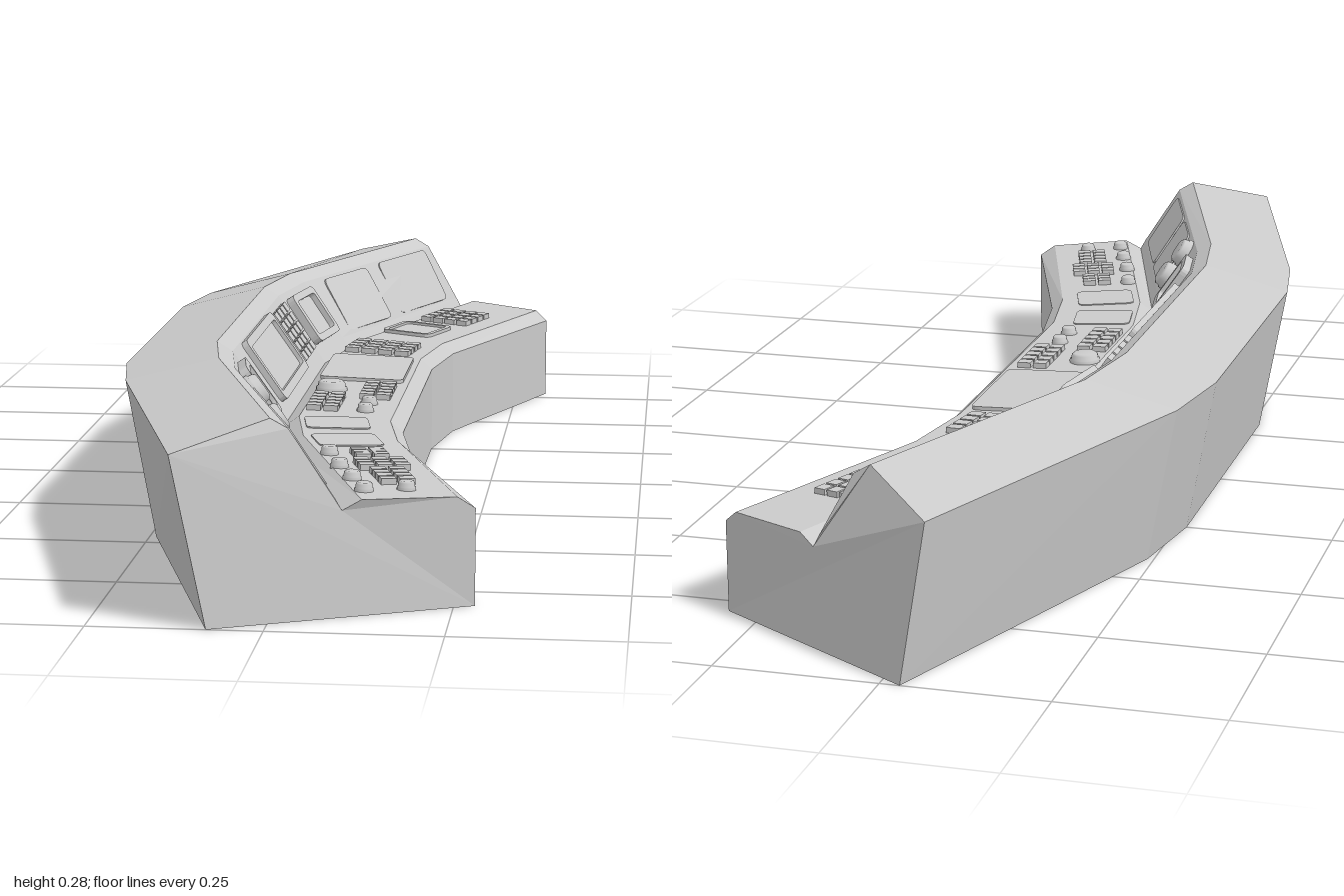
import * as THREE from 'three';

const material = new THREE.MeshStandardMaterial({ color: 0xcccccc, flatShading: true, side: THREE.DoubleSide });
const smooth = new THREE.MeshStandardMaterial({ color: 0xcccccc });
const V = (x, y, z) => new THREE.Vector3(x, y, z);

// Heights of the ten profile points, from rear foot over the crest to front foot
const HEIGHT = [0, 0.245, 0.283, 0.268, 0.168, 0.15, 0.165, 0.16, 0.142, 0];
const MID_X = [-0.265, -0.31, -0.165, -0.14, -0.07, -0.058, -0.035, 0.11, 0.13, 0.13];
const END_A = { x: [-0.03, -0.07, 0.045, 0.07, 0.125, 0.135, 0.16, 0.285, 0.305, 0.305],
  z: [-1, -1, -0.89, -0.89, -0.89, -0.885, -0.87, -0.8, -0.79, -0.79] };
const END_B = { x: [-0.08, -0.13, 0, 0.025, 0.088, 0.098, 0.125, 0.255, 0.28, 0.28],
  z: [1, 1, 0.92, 0.915, 0.9, 0.9, 0.895, 0.84, 0.83, 0.83] };

const mid = (dx, z) => HEIGHT.map((y, j) => V(MID_X[j] + dx, y, z));
const end = (e) => HEIGHT.map((y, j) => V(e.x[j], y, e.z[j]));
const stations = [end(END_A), mid(0.025, -0.41), mid(0, -0.25), mid(0, 0.31), mid(0.025, 0.46), end(END_B)];

// Console shell: profile swept through the stations, with both ends capped
function bodyGeometry() {
  const pos = [];
  const tri = (...pts) => pts.forEach((p) => pos.push(p.x, p.y, p.z));
  const n = HEIGHT.length;
  for (let i = 0; i < stations.length - 1; i++) {
    for (let j = 0; j < n; j++) {
      const k = (j + 1) % n, s = stations[i], t = stations[i + 1];
      tri(s[j], t[j], t[k]);
      tri(s[j], t[k], s[k]);
    }
  }
  for (const [s, facing] of [[stations[0], -1], [stations[stations.length - 1], 1]]) {
    const outline = s.map((p) => new THREE.Vector2(p.x, p.y));
    for (const [a, b, c] of THREE.ShapeUtils.triangulateShape(outline, [])) {
      const area = THREE.ShapeUtils.area([outline[a], outline[b], outline[c]]);
      if (area * facing > 0) tri(s[a], s[b], s[c]);
      else tri(s[a], s[c], s[b]);
    }
  }
  const g = new THREE.BufferGeometry();
  g.setAttribute('position', new THREE.Float32BufferAttribute(pos, 3));
  g.computeVertexNormals();
  return g;
}

// Point and direction on lengthwise row j at depth z
function onRow(j, z) {
  let i = 0;
  while (i < stations.length - 2 && stations[i + 1][j].z < z) i++;
  const a = stations[i][j], b = stations[i + 1][j];
  return { point: a.clone().lerp(b, (z - a.z) / (b.z - a.z)), dir: b.clone().sub(a).normalize() };
}

// Group whose X runs along the console, Y across it and Z out of the surface
function mount(name, row, z, t) {
  const a = onRow(row, z), b = onRow(row + 1, z);
  const across = b.point.clone().sub(a.point);
  const normal = a.dir.clone().cross(across).normalize();
  const group = new THREE.Group();
  group.name = name;
  group.matrix.makeBasis(a.dir, normal.clone().cross(a.dir), normal);
  group.quaternion.setFromRotationMatrix(group.matrix);
  group.position.copy(a.point).addScaledVector(across, t);
  return group;
}
const onSlope = (name, z, t = 0.5) => mount(name, 3, z, t);
function onDesk(name, x, z) {
  const a = onRow(6, z).point.x, b = onRow(7, z).point.x;
  return mount(name, 6, z, (x - a) / (b - a));
}

function add(group, geometry, name, mat = material) {
  const mesh = new THREE.Mesh(geometry, mat);
  mesh.name = name;
  group.add(mesh);
  return mesh;
}

function roundRect(path, w, h, r) {
  const x = w / 2, y = h / 2;
  path.moveTo(-x + r, -y);
  path.lineTo(x - r, -y).quadraticCurveTo(x, -y, x, -y + r);
  path.lineTo(x, y - r).quadraticCurveTo(x, y, x - r, y);
  path.lineTo(-x + r, y).quadraticCurveTo(-x, y, -x, y - r);
  path.lineTo(-x, -y + r).quadraticCurveTo(-x, -y, -x + r, -y);
  return path;
}

function plate(group, w, h, depth, name, border = 0) {
  const shape = roundRect(new THREE.Shape(), w, h, 0.014);
  if (border) shape.holes.push(roundRect(new THREE.Path(), w - 2 * border, h - 2 * border, 0.008));
  return add(group, new THREE.ExtrudeGeometry(shape, { depth, bevelEnabled: false, curveSegments: 4 }), name);
}

// Raised bezel around a lower display
function screen(group, w, h, depth, border) {
  plate(group, w, h, depth, 'bezel', border);
  plate(group, w - border, h - border, depth * 0.3, 'display');
  return group;
}

function keypad(group, w, h, cols, rows) {
  const dx = w / cols, dy = h / rows;
  for (let i = 0; i < cols; i++) {
    for (let j = 0; j < rows; j++) {
      const key = add(group, new THREE.BoxGeometry(dx * 0.82, dy * 0.82, 0.014), 'key');
      key.position.set((i + 0.5) * dx - w / 2, (j + 0.5) * dy - h / 2, 0.002);
    }
  }
  return group;
}

function knob(group, r, h) {
  const profile = [[0, h], [r * 0.7, h], [r * 0.85, h * 0.8], [r * 0.9, h * 0.35], [r, h * 0.3], [r, -0.004]];
  const points = profile.reverse().map(([x, y]) => new THREE.Vector2(x, y));
  const g = new THREE.LatheGeometry(points, 16).rotateX(Math.PI / 2);
  add(group, g, 'knobCap', smooth);
  return group;
}

export function createModel() {
  const model = new THREE.Group();
  model.name = 'controlConsole';
  add(model, bodyGeometry(), 'consoleBody');

  // Sloped instrument panel
  for (const [z, w] of [[-0.76, 0.2], [-0.54, 0.17], [0.63, 0.12], [0.785, 0.17]]) {
    const panel = onSlope('flatMonitor', z);
    plate(panel, w, 0.105, 0.003, 'monitorFace');
    model.add(panel);
  }
  model.add(screen(onSlope('smallScreen', -0.325), 0.13, 0.095, 0.014, 0.013));
  model.add(screen(onSlope('smallScreen', 0.395), 0.1, 0.1, 0.014, 0.013));
  model.add(screen(onSlope('mainScreen', 0.085), 0.3, 0.115, 0.01, 0.014));
  model.add(keypad(onSlope('slopeKeypad', -0.15), 0.145, 0.1, 4, 5));
  for (const t of [0.24, 0.68]) model.add(knob(onSlope('slopeKnob', 0.525, t), 0.027, 0.018));

  // Desk keypads: x, z, length, width, columns, rows
  for (const [x, z, w, h, c, r] of [
    [0.14, -0.66, 0.11, 0.095, 4, 4], [0.037, -0.32, 0.1, 0.12, 4, 4],
    [0.068, 0.08, 0.125, 0.055, 5, 2], [-0.005, 0.195, 0.125, 0.055, 5, 2],
    [0.105, 0.59, 0.055, 0.055, 3, 2], [0.13, 0.66, 0.06, 0.08, 3, 3], [0.153, 0.74, 0.09, 0.055, 4, 2],
  ]) model.add(keypad(onDesk('deskKeypad', x, z), w, h, c, r));

  // Desk pads and display
  const tablet = onDesk('deskDisplay', 0.03, -0.12);
  plate(tablet, 0.22, 0.14, 0.006, 'displayFace');
  model.add(tablet, screen(onDesk('deskScreen', 0.08, -0.525), 0.105, 0.095, 0.006, 0.008));
  for (const [x, z] of [[0.03, 0.35], [0.06, 0.48]]) {
    const pad = onDesk('deskPad', x, z);
    plate(pad, 0.09, 0.1, 0.002, 'padFace');
    model.add(pad);
  }

  // Desk knobs and buttons
  model.add(knob(onDesk('deskDial', -0.01, 0.075), 0.026, 0.016));
  for (const [x, z] of [[0.063, 0.18], [0.063, 0.24], [0.045, 0.59], [0.07, 0.68],
    [0.097, 0.76], [0.122, 0.835], [0.18, 0.81]]) {
    model.add(knob(onDesk('deskButton', x, z), 0.014, 0.013));
  }
  return model;
}
